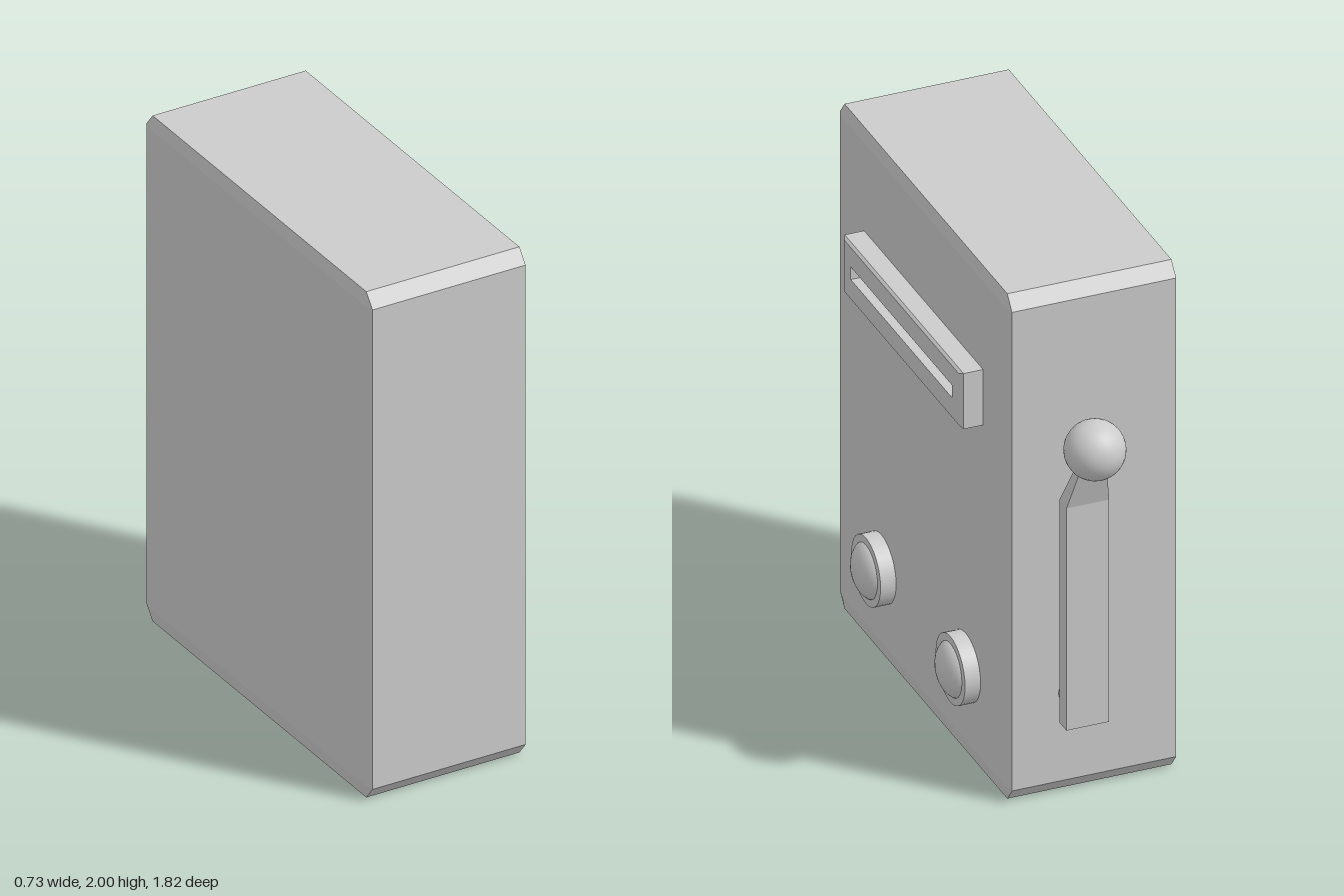
import * as THREE from 'three';
import { ConvexGeometry } from 'three/addons/geometries/ConvexGeometry.js';

const material = new THREE.MeshStandardMaterial({ color: 0xcccccc });

function addPart(parent, name, geometry, x = 0, y = 0, z = 0) {
  const mesh = new THREE.Mesh(geometry, material);
  mesh.name = name;
  mesh.position.set(x, y, z);
  parent.add(mesh);
  return mesh;
}

// Box with a single chamfer of its own size along each axis
function chamferedBox(hx, hy, hz, cx, cy, cz) {
  const points = [];
  for (const sx of [-1, 1]) for (const sy of [-1, 1]) for (const sz of [-1, 1]) {
    points.push(
      new THREE.Vector3(sx * hx, sy * (hy - cy), sz * (hz - cz)),
      new THREE.Vector3(sx * (hx - cx), sy * hy, sz * (hz - cz)),
      new THREE.Vector3(sx * (hx - cx), sy * (hy - cy), sz * hz));
  }
  return new ConvexGeometry(points);
}

// Solid between two horizontal rectangles, each { y, z0, z1, half width }
function taperedBar(sections) {
  const points = [];
  for (const { y, z0, z1, w } of sections)
    for (const x of [-w, w]) points.push(new THREE.Vector3(x, y, z0), new THREE.Vector3(x, y, z1));
  return new ConvexGeometry(points);
}

function rectangle(PathType, w, h) {
  return new PathType([[-w, -h], [w, -h], [w, h], [-w, h]].map(([x, y]) => new THREE.Vector2(x, y)));
}

// Plate facing +x with a long opening and a chamfered outer rim
function slotPlate() {
  const depth = 0.085, rim = 0.01;
  const shape = rectangle(THREE.Shape, 0.525, 0.11);
  shape.holes.push(rectangle(THREE.Path, 0.448, 0.025));
  const extruded = new THREE.ExtrudeGeometry(shape, { depth, steps: 2, bevelEnabled: false });
  const geometry = extruded.index ? extruded.toNonIndexed() : extruded;
  const p = geometry.attributes.position;
  for (let i = 0; i < p.count; i++) {
    const x = p.getX(i), y = p.getY(i), z = p.getZ(i);
    if (Math.abs(z - depth / 2) < 1e-4) p.setZ(i, depth - rim);
    else if (z > depth / 2 && Math.abs(y) > 0.1)
      p.setXY(i, x - Math.sign(x) * 0.02, y - Math.sign(y) * 0.008);
  }
  geometry.computeVertexNormals();
  return geometry.rotateY(Math.PI / 2);
}

export function createModel() {
  const model = new THREE.Group();
  model.name = 'leverMachine';

  // Cabinet
  addPart(model, 'cabinet', chamferedBox(0.315, 1, 0.76, 0.008, 0.052, 0.042), -0.053, 1, 0.151);

  // Slot
  addPart(model, 'slotPlate', slotPlate(), 0.26, 1.49, 0.152);

  // Two round buttons
  for (const z of [0.525, -0.22]) {
    const button = new THREE.Group();
    button.name = 'button';
    button.position.set(0.26, 0.345, z);
    addPart(button, 'buttonBase', new THREE.CylinderGeometry(0.13, 0.13, 0.07, 32).rotateZ(-Math.PI / 2), 0.025);
    const dome = new THREE.SphereGeometry(0.108, 32, 16).rotateZ(-Math.PI / 2);
    addPart(button, 'buttonDome', dome, 0.04).scale.x = 0.6;
    model.add(button);
  }

  // Pull lever on the back
  const lever = new THREE.Group();
  lever.name = 'lever';
  lever.position.x = 0.025;
  addPart(lever, 'leverAxle', new THREE.CylinderGeometry(0.055, 0.055, 0.1, 32).rotateX(Math.PI / 2), 0, 0.4, -0.64);
  const bend = { y: 1.205, z0: -0.674, z1: -0.737, w: 0.08 };
  addPart(lever, 'leverArm', taperedBar([{ ...bend, y: 0.325 }, bend]));
  addPart(lever, 'leverNeck', taperedBar([bend, { y: 1.42, z0: -0.77, z1: -0.802, w: 0.04 }]));
  addPart(lever, 'leverKnob', new THREE.SphereGeometry(0.109, 32, 16), 0, 1.453, -0.8);
  model.add(lever);

  return model;
}
